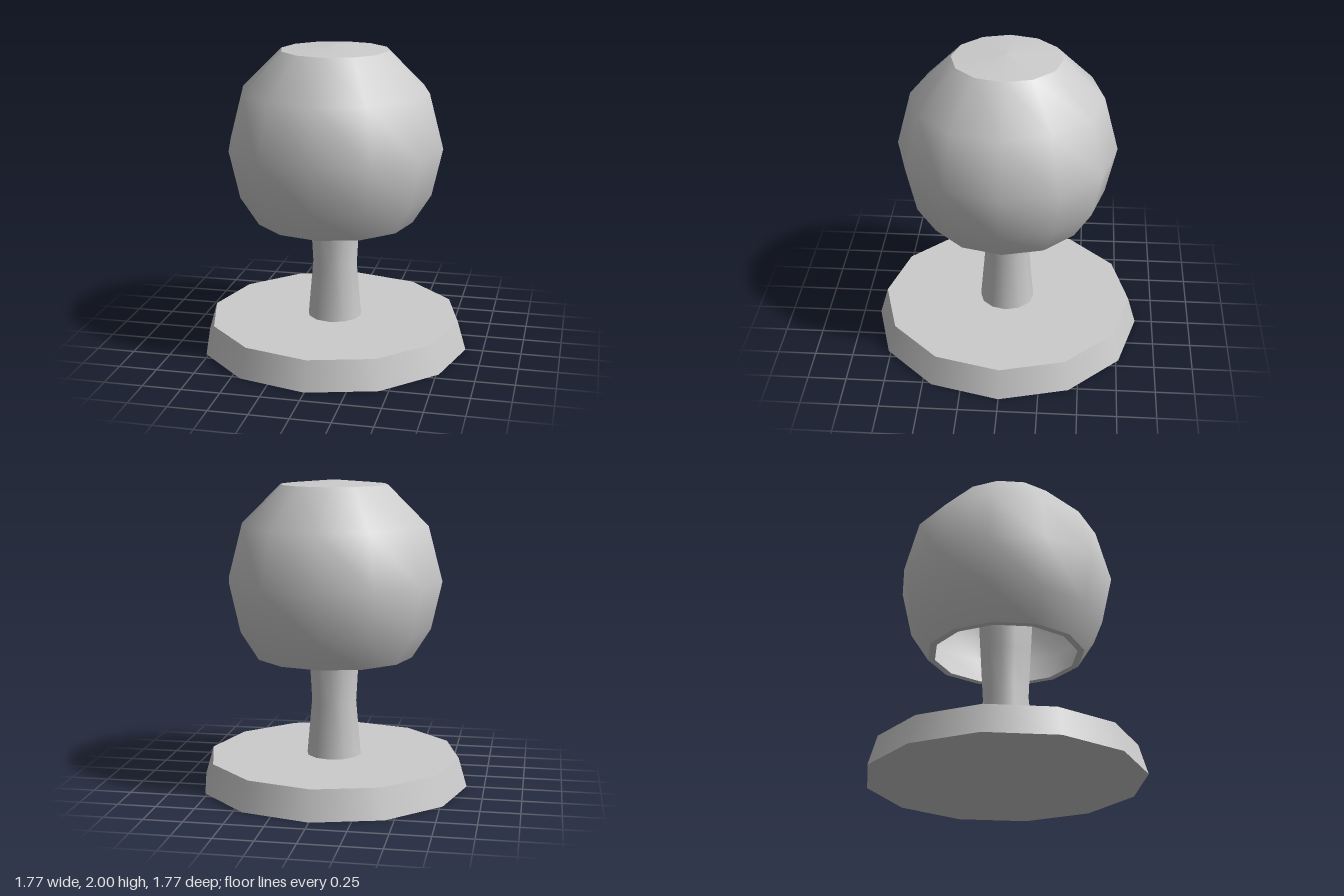
import * as THREE from 'three';

const SIDES = 12;
const material = new THREE.MeshStandardMaterial({ color: 0xcccccc });

// Revolve each band of a profile separately so the bands meet in sharp edges.
function turnedPart(name, bands) {
  const part = new THREE.Group();
  part.name = name;
  bands.forEach((band, i) => {
    const points = band.map(([r, y]) => new THREE.Vector2(r, y));
    const mesh = new THREE.Mesh(new THREE.LatheGeometry(points, SIDES), material);
    mesh.name = `${name}Band${i + 1}`;
    part.add(mesh);
  });
  return part;
}

export function createModel() {
  const model = new THREE.Group();
  model.name = 'doorKnob';

  // Tapered mounting plate: underside, rim, top
  model.add(turnedPart('basePlate', [
    [[0, 0], [0.885, 0]],
    [[0.885, 0], [0.83, 0.19]],
    [[0.83, 0.19], [0, 0.19]],
  ]));

  // Waisted stem running up inside the knob
  model.add(turnedPart('stem', [
    [[0.18, 0.19], [0.148, 0.55], [0.165, 0.86], [0.19, 1.3], [0.19, 1.9]],
  ]));

  // Hollow round knob: bottom lip, outer shell, shallow cap, inner wall
  model.add(turnedPart('knob', [
    [[0.47, 0.855], [0.515, 0.855]],
    [[0.515, 0.855], [0.635, 1.045], [0.705, 1.355], [0.612, 1.71], [0.35, 1.97]],
    [[0.35, 1.97], [0, 2]],
    [[0, 1.92], [0.32, 1.9], [0.56, 1.67], [0.645, 1.355], [0.585, 1.065], [0.47, 0.855]],
  ]));

  return model;
}
